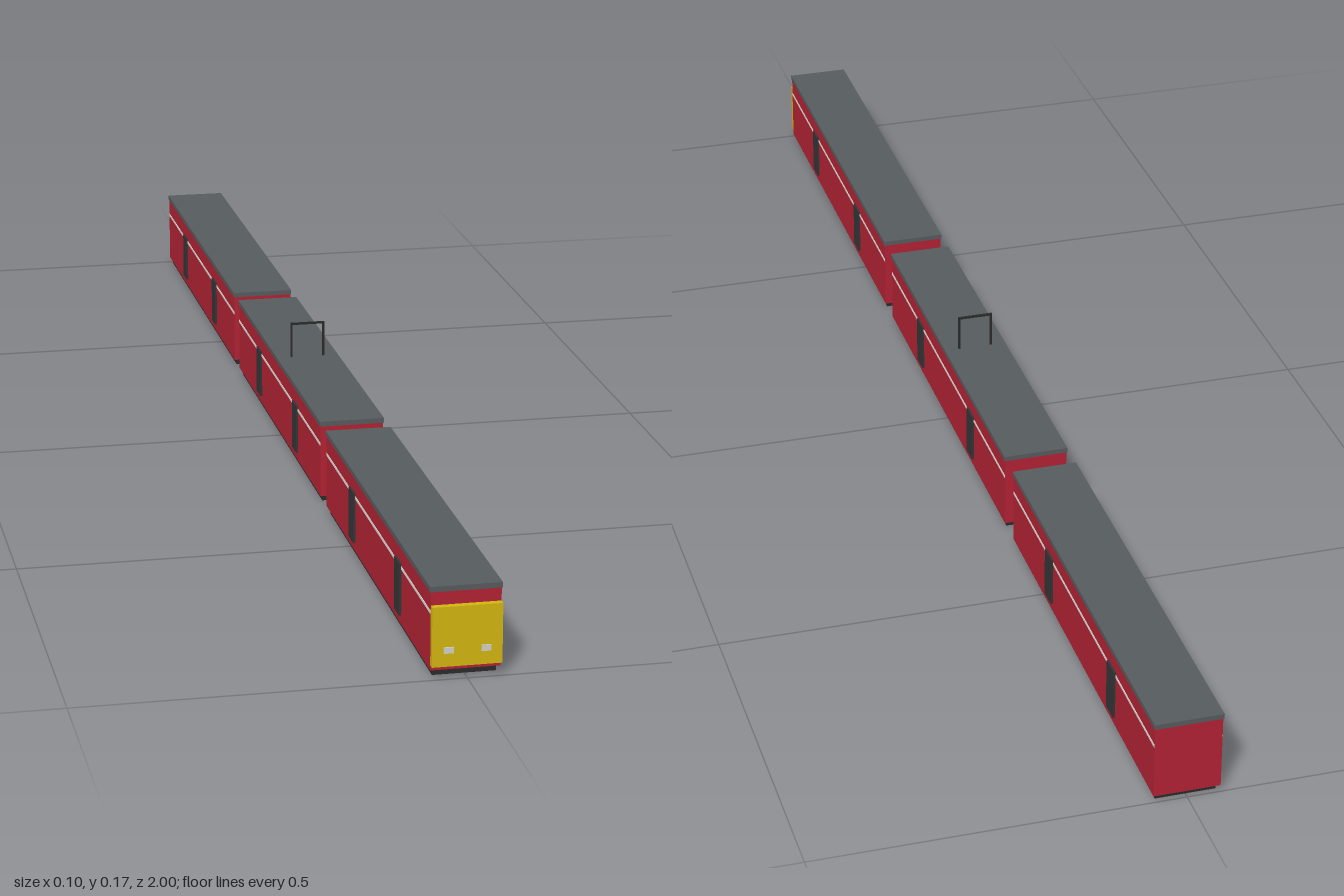
import * as THREE from 'three';

const paint = (name, color) => {
  const m = new THREE.MeshStandardMaterial({ color });
  m.name = name;
  return m;
};

export function createModel() {
  const red = paint('body red', 0xb22234);
  const grey = paint('roof grey', 0x565b5e);
  const black = paint('underframe black', 0x2a2a2a);
  const dark = paint('door charcoal', 0x333436);
  const yellow = paint('cab yellow', 0xd2b410);
  const white = paint('stripe white', 0xdcdcd8);
  const lamp = paint('lamp grey', 0xd0d0c8);

  const train = new THREE.Group();
  train.name = 'train';

  // Box given by its size, centre x and z, and bottom y
  const box = (parent, name, mat, w, h, d, x, y, z) => {
    const mesh = new THREE.Mesh(new THREE.BoxGeometry(w, h, d), mat);
    mesh.name = name;
    mesh.position.set(x, y + h / 2, z);
    parent.add(mesh);
  };

  const length = 0.636, pitch = 0.677, middleZ = -0.005;

  // Three identical coaches
  const cars = ['rearCar', 'middleCar', 'frontCar'].map((name, i) => {
    const car = new THREE.Group();
    car.name = name;
    car.position.z = middleZ + (i - 1) * pitch;
    box(car, 'underframe', black, 0.082, 0.009, length - 0.016, 0, 0, 0);
    box(car, 'body', red, 0.09, 0.1035, length - 0.002, 0, 0.009, 0);
    box(car, 'roof', grey, 0.0925, 0.007, length, 0, 0.1125, 0);
    for (const side of [-1, 1]) {
      box(car, 'stripe', white, 0.001, 0.004, length - 0.004, side * 0.0452, 0.084, 0);
      for (const end of [-1, 1])
        box(car, 'door', dark, 0.004, 0.071, 0.03, side * 0.046, 0.021, end * 0.14);
    }
    train.add(car);
    return car;
  });

  // Cab front with headlights on the leading coach
  const nose = length / 2;
  box(cars[2], 'cabFront', yellow, 0.09, 0.079, 0.009, 0, 0.016, nose + 0.0035);
  for (const side of [-1, 1])
    box(cars[2], 'headlight', lamp, 0.0125, 0.008, 0.004, side * 0.024, 0.034, nose + 0.008);

  // Pantograph hoop on the middle coach
  const pantograph = new THREE.Group();
  pantograph.name = 'pantograph';
  for (const side of [-1, 1])
    box(pantograph, 'pantographPost', black, 0.003, 0.052, 0.003, side * 0.024, 0.119, 0);
  box(pantograph, 'pantographBar', black, 0.051, 0.003, 0.003, 0, 0.169, 0);
  cars[1].add(pantograph);

  return train;
}
